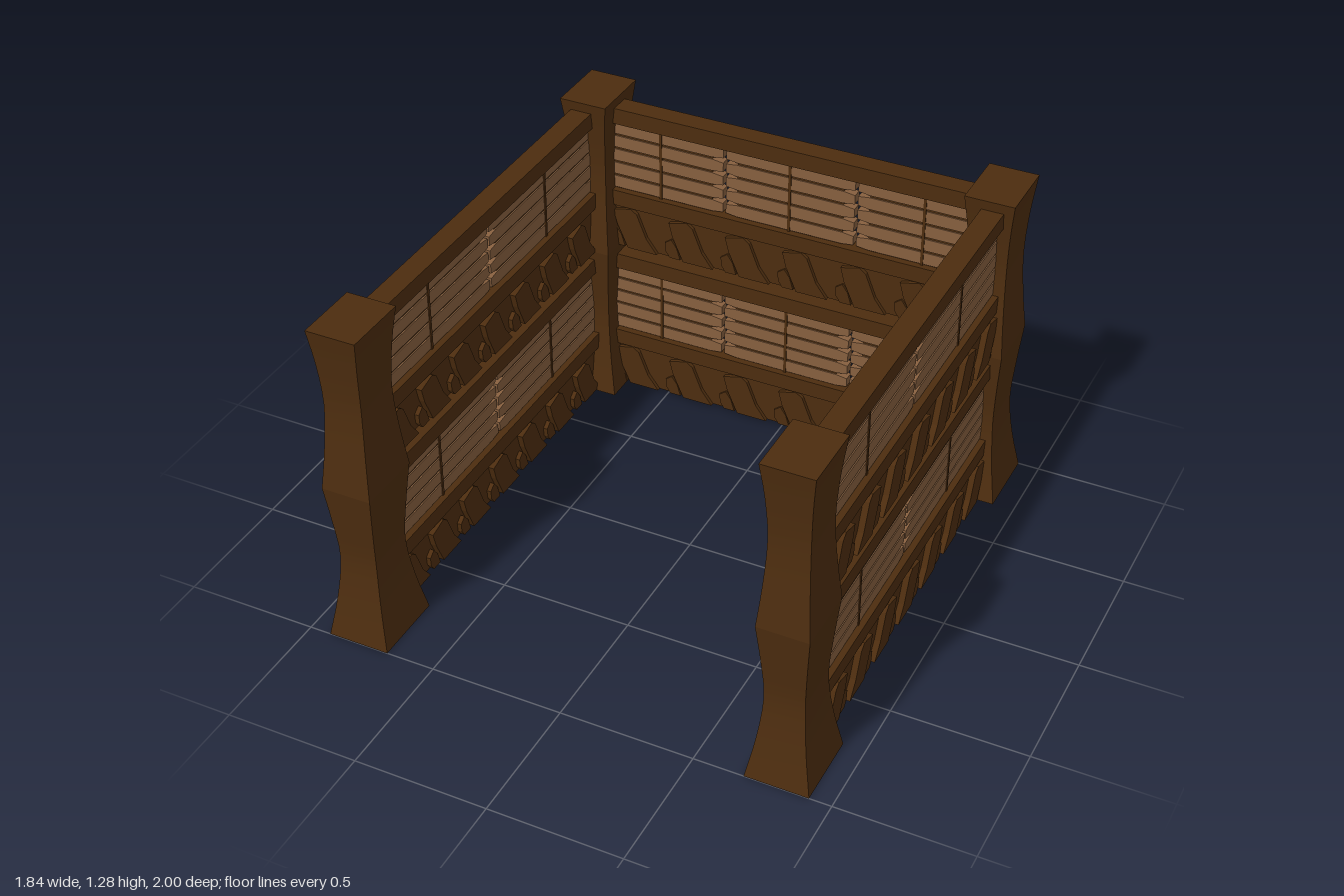
import * as THREE from 'three';

const darkWood = new THREE.MeshStandardMaterial({ color: 0x4d2d0f });
darkWood.name = 'dark wood';
const paleWood = new THREE.MeshStandardMaterial({ color: 0x87603f });
paleWood.name = 'pale wood';

function add(parent, name, geometry, material, x = 0, y = 0, z = 0) {
  const mesh = new THREE.Mesh(geometry, material);
  mesh.name = name;
  mesh.position.set(x, y, z);
  parent.add(mesh);
  return mesh;
}

// Plate cut from an outline, centred on its thickness
function plate(points, depth) {
  const shape = new THREE.Shape(points.map(([x, y]) => new THREE.Vector2(x, y)));
  return new THREE.ExtrudeGeometry(shape, { depth, bevelEnabled: false }).translate(0, 0, -depth / 2);
}

// Half of a post: a square block with a curved waist; rows are [y, halfX, halfZ]
function waistedBlock(rows) {
  const y0 = rows[0][0], h = rows[rows.length - 1][0] - y0;
  const curve = new THREE.CatmullRomCurve3(rows.map(([y, a, b]) => new THREE.Vector3(a, y, b)));
  const steps = 12;
  const samples = curve.getPoints(steps);
  const geo = new THREE.BoxGeometry(2, h, 2, 1, steps, 1);
  const pos = geo.attributes.position;
  for (let i = 0; i < pos.count; i++) {
    const s = samples[Math.round((pos.getY(i) / h + 0.5) * steps)];
    pos.setXYZ(i, pos.getX(i) * s.x, s.y, pos.getZ(i) * s.z);
  }
  geo.computeVertexNormals();
  return geo;
}

const lowerPost = waistedBlock([
  [0, 0.117, 0.142], [0.16, 0.089, 0.113], [0.33, 0.073, 0.094], [0.48, 0.08, 0.107], [0.645, 0.094, 0.127],
]);
const upperPost = waistedBlock([
  [0.645, 0.094, 0.127], [0.8, 0.081, 0.108], [0.98, 0.073, 0.094], [1.15, 0.08, 0.107], [1.285, 0.094, 0.126],
]);

function makePost(x, z) {
  const post = new THREE.Group();
  post.name = 'cornerPost';
  add(post, 'lowerPost', lowerPost, darkWood);
  add(post, 'upperPost', upperPost, darkWood);
  post.position.set(x, 0, z);
  return post;
}

const bigLeaf = [[-0.1, 0], [0.025, 0], [0.07, 0.1], [0.085, 0.158], [0.01, 0.177], [-0.015, 0.158], [-0.055, 0.06]];
const smallLeaf = [[0.04, 0], [0.085, 0], [0.102, 0.025], [0.105, 0.062], [0.078, 0.082], [0.055, 0.05]];

// One tier of a wall, outside facing +z
function makeTier({ length, columns, columnWidth, leafPitch, leafShift, leafDepth }) {
  const tier = new THREE.Group();
  tier.name = 'wallTier';
  const beam = new THREE.BoxGeometry(length, 0.065, 0.084);
  add(tier, 'topBeam', beam, darkWood, 0, 0.573, 0);
  add(tier, 'lowerBeam', beam, darkWood, 0, 0.218, 0);
  add(tier, 'skirtBoard', new THREE.BoxGeometry(length, 0.19, 0.05), darkWood, 0, 0.1, 0);

  // Carved leaves along the skirt
  const big = plate(bigLeaf, leafDepth), small = plate(smallLeaf, leafDepth - 0.012);
  for (let i = -3; i <= 3; i++) {
    const x = leafShift + i * leafPitch;
    add(tier, 'carvedLeaf', big, darkWood, x, 0.005, 0);
    add(tier, 'smallCarvedLeaf', small, darkWood, x, 0.005, 0);
  }

  // Slats with tapered ends, joined by rails and a thin stud on each column
  const rows = 5, pitch = 0.058;
  const a = columnWidth / 2 - 0.006, h = 0.0245, c = 0.045, t = 0.006;
  const slat = plate([
    [-a, -h + t], [-a + c, -h], [a - c, -h], [a, -h + t],
    [a, h - t], [a - c, h], [-a + c, h], [-a, h - t],
  ], 0.04);
  const rail = new THREE.BoxGeometry(2 * (a - c), 0.016, 0.03);
  const stud = new THREE.BoxGeometry(0.011, 0.3, 0.046);
  for (let k = 0; k < columns; k++) {
    const x = (k - (columns - 1) / 2) * columnWidth;
    for (let r = 0; r < rows; r++) {
      const y = 0.25 + (r + 0.5) * pitch;
      add(tier, 'slat', slat, paleWood, x, y, 0);
      add(tier, 'rail', rail, darkWood, x, y - pitch / 2, 0);
    }
    add(tier, 'stud', stud, darkWood, x, 0.395, 0);
  }
  return tier;
}

function makeWall(name, options, x, z, turn) {
  const wall = new THREE.Group();
  wall.name = name;
  for (const y of [0, 0.64]) {
    const tier = makeTier(options);
    tier.position.y = y;
    wall.add(tier);
  }
  wall.position.set(x, 0, z);
  wall.rotation.y = turn;
  return wall;
}

export function createModel() {
  const model = new THREE.Group();
  model.name = 'openPen';

  for (const x of [-0.802, 0.802]) for (const z of [-0.858, 0.858]) model.add(makePost(x, z));

  const side = { length: 1.6, columns: 2, columnWidth: 0.82, leafPitch: 0.219, leafShift: 0.015, leafDepth: 0.096 };
  const back = { length: 1.52, columns: 3, columnWidth: 0.53, leafPitch: 0.237, leafShift: -0.07, leafDepth: 0.08 };
  model.add(makeWall('leftWall', side, 0.813, 0, Math.PI / 2));
  model.add(makeWall('rightWall', side, -0.813, 0, -Math.PI / 2));
  model.add(makeWall('backWall', back, 0, -0.856, Math.PI));
  return model;
}
